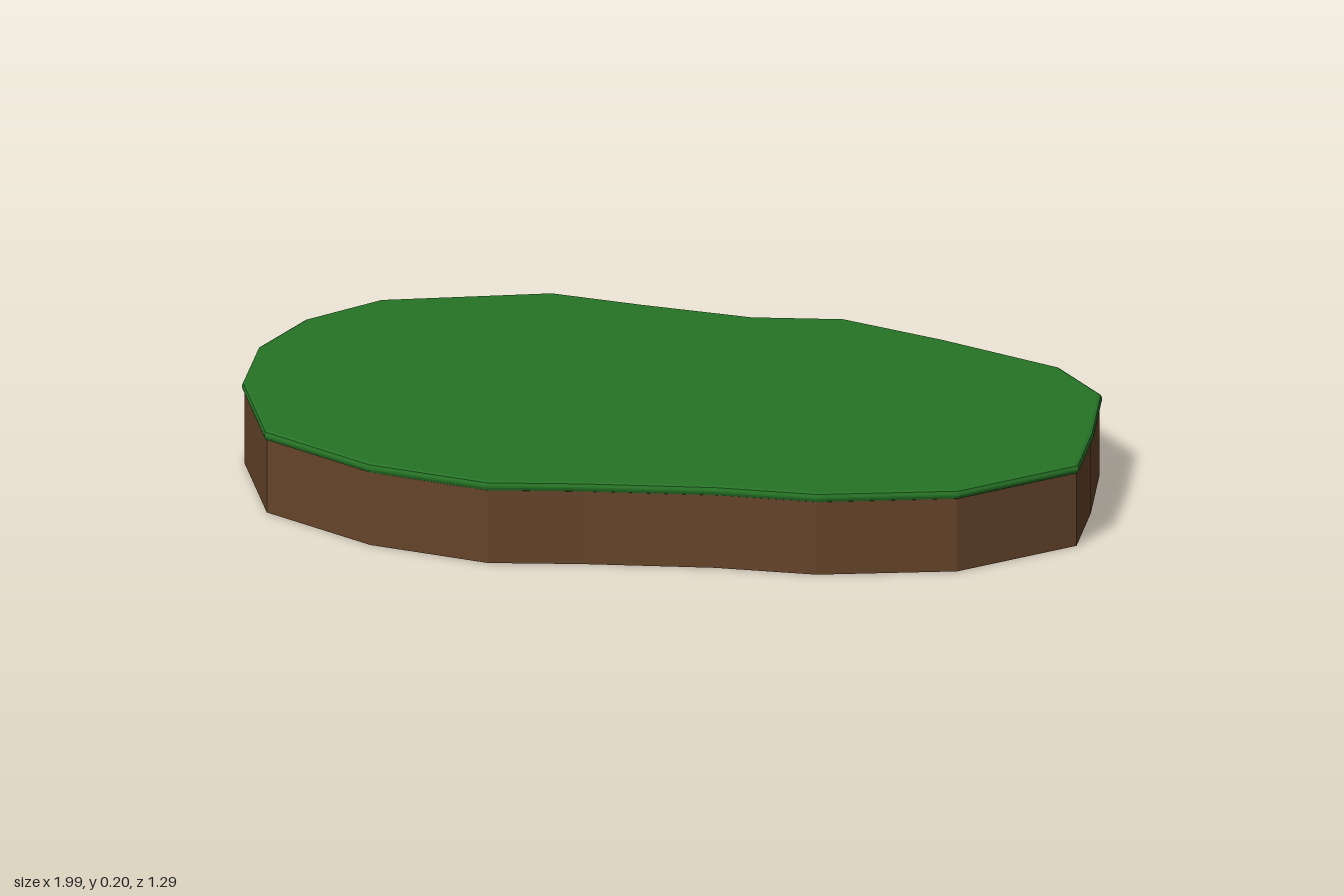
import * as THREE from 'three';

// Island outline seen from above, as [x, z]
const OUTLINE = [
  [-0.40, -0.645], [-0.18, -0.605], [0.08, -0.567], [0.29, -0.592], [0.54, -0.495],
  [0.832, -0.36], [0.962, -0.195], [0.988, 0.06], [0.995, 0.285], [0.755, 0.505],
  [0.44, 0.585], [0.2, 0.581], [-0.1, 0.61], [-0.32, 0.642], [-0.608, 0.57],
  [-0.882, 0.395], [-0.992, 0.075], [-0.998, -0.165], [-0.925, -0.37], [-0.78, -0.53],
];

// Extrudes the outline upward from the given height
function slab(name, material, y, options) {
  const shape = new THREE.Shape(OUTLINE.map(([x, z]) => new THREE.Vector2(x, -z)));
  const geometry = new THREE.ExtrudeGeometry(shape, options);
  geometry.rotateX(-Math.PI / 2);
  geometry.translate(0, y, 0);
  const mesh = new THREE.Mesh(geometry, material);
  mesh.name = name;
  return mesh;
}

export function createModel() {
  const soil = new THREE.MeshStandardMaterial({ name: 'soil brown', color: 0x65442a });
  const grass = new THREE.MeshStandardMaterial({ name: 'grass green', color: 0x267326 });

  const model = new THREE.Group();
  model.name = 'grassyIsland';

  // Earth body: the outline drawn in slightly, with straight sides
  const body = slab('earthBody', soil, 0, { depth: 0.185, bevelEnabled: false });
  body.scale.set(0.994, 1, 0.992);
  model.add(body);

  // Thin turf cap with a rounded lip overhanging the earth
  model.add(slab('turfCap', grass, 0.185, {
    depth: 0.004,
    bevelEnabled: true,
    bevelThickness: 0.01,
    bevelSize: 0.009,
    bevelOffset: -0.009,
    bevelSegments: 2,
  }));

  return model;
}
